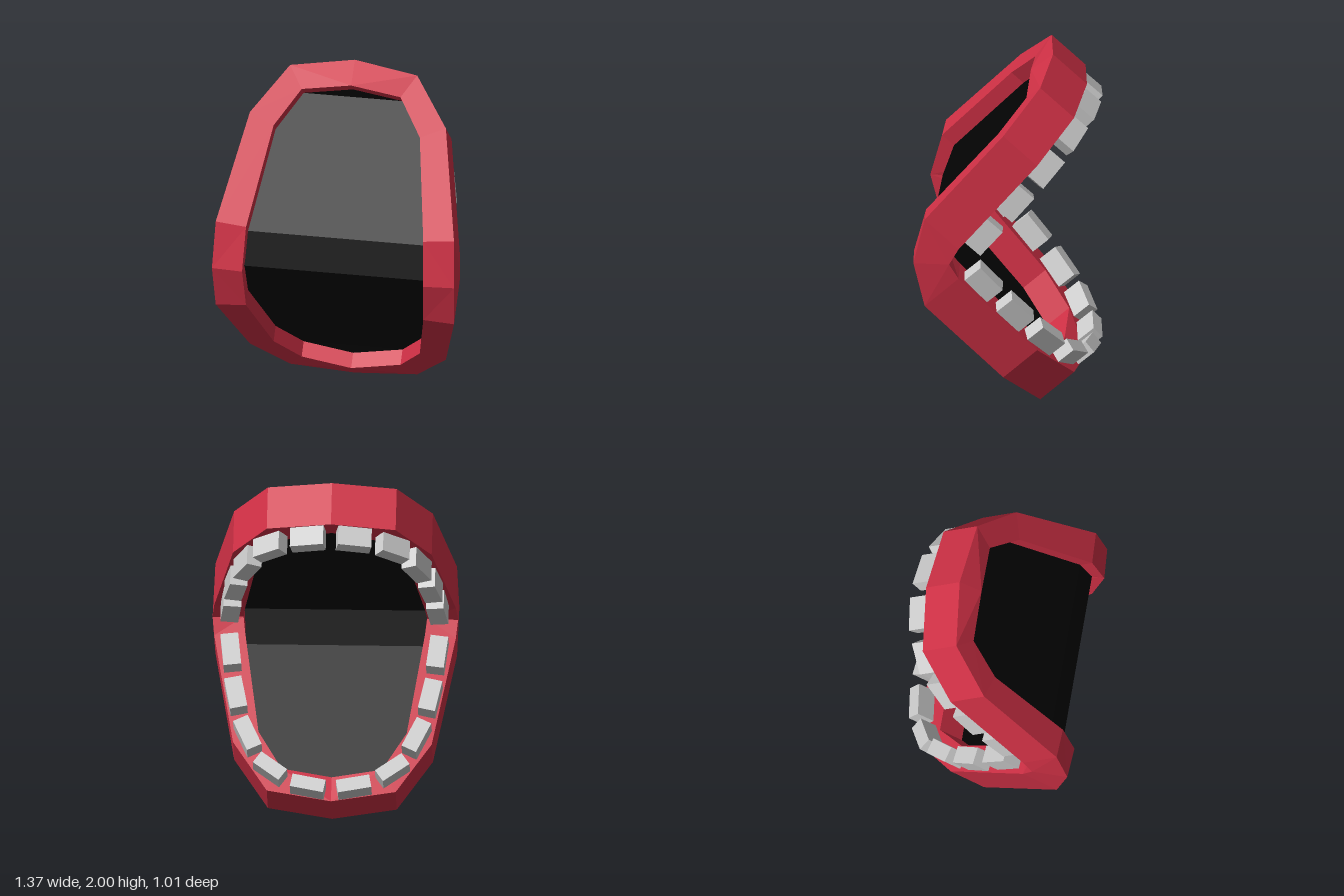
import * as THREE from 'three';

const red = new THREE.MeshStandardMaterial({ color: 0xcf3045, flatShading: true });
const black = new THREE.MeshStandardMaterial({ color: 0x030303, flatShading: true, side: THREE.DoubleSide });
const white = new THREE.MeshStandardMaterial({ color: 0xcccccc, flatShading: true });

// Quarter outlines [x, y, z] from the mouth corner up to the middle of the lip
const outerFront = [[0.686, 1, 0.492], [0.675, 1.265, 0.43], [0.555, 1.74, 0], [0.36, 1.955, -0.19], [0, 2, -0.23]];
const innerFront = [[0.513, 1, 0.504], [0.502, 1.25, 0.437], [0.414, 1.69, 0.04], [0.28, 1.855, -0.105], [0, 1.903, -0.106]];

// Shift an outline straight back through the jaw; the corner stays on the fold
const pushBack = (outline, k) => outline.map(([x, y, z], i) =>
  i === 0 ? [x, y, z - 0.2 * k] : [x, y - 0.175 * k, z - 0.19 * k]);

// Mirror a quarter outline into a closed ring, counterclockwise from the front
function fullRing(q) {
  const ring = [...q, ...q.slice(0, -1).reverse().map(([x, y, z]) => [-x, y, z])];
  const lower = ring.slice(1, -1).map(([x, y, z]) => [-x, 2 - y, z]);
  return [...ring, ...lower];
}

function meshFromTriangles(name, tris, material) {
  const geometry = new THREE.BufferGeometry();
  geometry.setAttribute('position', new THREE.Float32BufferAttribute(tris.flat(), 3));
  geometry.computeVertexNormals();
  const mesh = new THREE.Mesh(geometry, material);
  mesh.name = name;
  return mesh;
}

// Gum: a four-sided section carried around the folded ring
function makeGum() {
  const rings = [outerFront, innerFront, pushBack(innerFront, 1), pushBack(outerFront, 1)].map(fullRing);
  const tris = [];
  rings.forEach((a, s) => {
    const b = rings[(s + 1) % rings.length];
    a.forEach((p, i) => {
      const j = (i + 1) % a.length;
      // Diagonals alternate by quarter so the ring stays symmetric
      if (Math.floor(i / 4) % 2 === 0) tris.push(p, a[j], b[j], p, b[j], b[i]);
      else tris.push(p, a[j], b[i], a[j], b[j], b[i]);
    });
  });
  return meshFromTriangles('gum', tris, red);
}

// Throat: thin folded sheet filling the opening, in rows from top to bottom
function makeThroat() {
  const q = pushBack(innerFront, 0.35);
  const left = [...q.slice().reverse(), ...q.slice(1).map(([x, y, z]) => [x, 2 - y, z])];
  const right = left.map(([x, y, z]) => [-x, y, z]);
  const tris = [];
  for (let i = 0; i < left.length - 1; i++) {
    // The first and last rows are single points
    if (left[i][0] > 0) tris.push(left[i], right[i], right[i + 1]);
    if (left[i + 1][0] > 0) tris.push(left[i], right[i + 1], left[i + 1]);
  }
  return meshFromTriangles('throat', tris, black);
}

// Outer edge of each tooth on the gum's back plane, thickness and height:
// [x0, v0, x1, v1, thick, out]
const teeth = [
  [0.637, 0.147, 0.615, 0.333, 0.1, 0.108],
  [0.61, 0.413, 0.572, 0.593, 0.098, 0.108],
  [0.554, 0.667, 0.472, 0.84, 0.09, 0.108],
  [0.438, 0.91, 0.292, 1.015, 0.08, 0.104],
  [0.228, 1.052, 0.042, 1.087, 0.076, 0.108],
];

// One row of ten teeth, in the plane of the gum's back face
function makeTeethRow(name) {
  const row = new THREE.Group();
  row.name = name;
  const sunk = 0.01;
  for (const side of [1, -1]) {
    teeth.forEach(([x0, v0, x1, v1, thick, out]) => {
      const dx = x1 - x0, dv = v1 - v0, len = Math.hypot(dx, dv);
      const tooth = new THREE.Mesh(new THREE.BoxGeometry(thick, len, out + sunk), white);
      tooth.name = 'tooth';
      tooth.position.set(
        side * ((x0 + x1) / 2 - (dv / len) * thick / 2),
        (v0 + v1) / 2 + (dx / len) * thick / 2,
        (sunk - out) / 2);
      tooth.rotation.z = side * Math.atan2(-dx, dv);
      row.add(tooth);
    });
  }
  row.position.z = 0.3;
  row.rotation.x = -0.728;
  return row;
}

export function createModel() {
  const model = new THREE.Group();
  model.name = 'openMouth';
  model.add(makeGum(), makeThroat());

  // The lower row is the upper one turned half a circle about the z axis
  ['upperTeeth', 'lowerTeeth'].forEach((name, i) => {
    const jaw = new THREE.Group();
    jaw.name = name + 'Jaw';
    jaw.position.y = 1;
    jaw.rotation.z = i * Math.PI;
    jaw.add(makeTeethRow(name));
    model.add(jaw);
  });
  return model;
}
